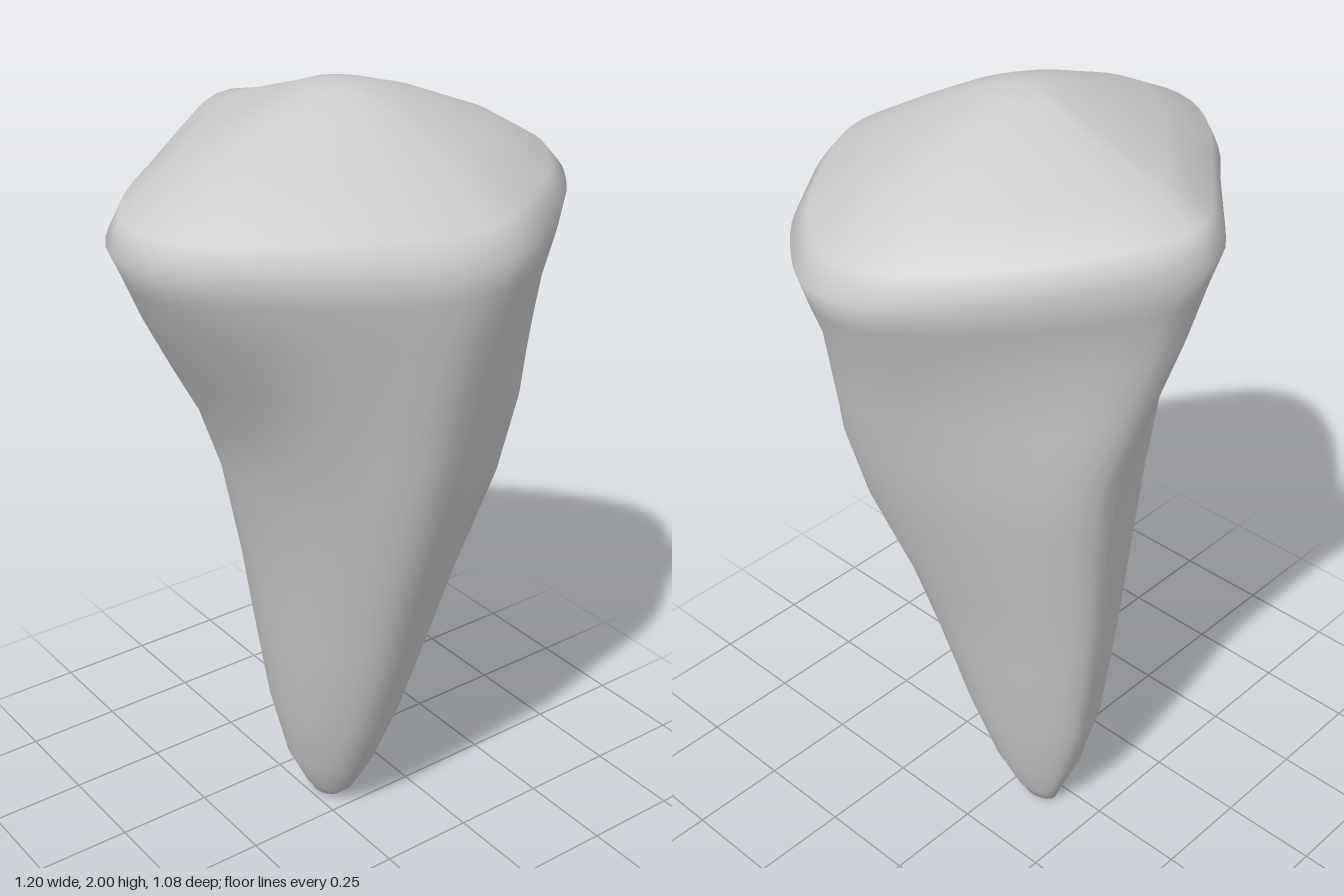
import * as THREE from 'three';

const SEGMENTS = 64;

// Rim outline seen from above (x, z): a diamond with rounded corners
const RIM = [
  [0.6, 0.02], [0.58, 0.11], [0.52, 0.2], [0.43, 0.3], [0.34, 0.37], [0.17, 0.49], [0.09, 0.525], [0.02, 0.535],
  [-0.07, 0.525], [-0.16, 0.49], [-0.28, 0.43], [-0.39, 0.36], [-0.49, 0.285], [-0.57, 0.195], [-0.6, 0.105],
  [-0.59, 0.015], [-0.535, -0.08], [-0.45, -0.17], [-0.35, -0.25], [-0.22, -0.36], [-0.07, -0.485], [-0.01, -0.525],
  [0.05, -0.54], [0.11, -0.525], [0.17, -0.49], [0.27, -0.41], [0.42, -0.27], [0.51, -0.17], [0.575, -0.08],
];

// Cross-sections from the tip up: y, right x, left x, front z, back z, centre x, centre z, lift at the back
const SECTIONS = [
  [0.012, 0.01, 0.085, -0.04, -0.135, 0.05, -0.085, 0],
  [0.05, -0.015, 0.105, 0.0, -0.15, 0.05, -0.08, 0],
  [0.16, -0.07, 0.15, 0.065, -0.197, 0.05, -0.07, 0],
  [0.35, -0.12, 0.2, 0.15, -0.255, 0.05, -0.05, 0],
  [0.6, -0.165, 0.257, 0.24, -0.295, 0.05, -0.03, 0],
  [0.8, -0.2, 0.31, 0.305, -0.325, 0.05, -0.01, 0],
  [1.07, -0.26, 0.407, 0.4, -0.36, 0.05, 0.01, 0],
  [1.25, -0.33, 0.458, 0.445, -0.39, 0.05, 0.02, 0],
  [1.4, -0.42, 0.49, 0.475, -0.425, 0.04, 0.03, 0],
  [1.55, -0.51, 0.525, 0.51, -0.465, 0.03, 0.04, 0.01],
  [1.66, -0.565, 0.57, 0.533, -0.5, 0.03, 0.05, 0.035],
  [1.735, -0.6, 0.597, 0.54, -0.535, 0.03, 0.05, 0.06],
  [1.79, -0.565, 0.545, 0.49, -0.49, 0.03, 0.05, 0.065],
  [1.875, -0.4, 0.4, 0.34, -0.36, 0.02, 0.04, 0.015],
  [1.955, -0.2, 0.2, 0.19, -0.16, 0.01, 0.03, 0],
  [1.99, -0.08, 0.08, 0.1, -0.06, 0, 0.02, 0],
];

// Rim outline scaled to reach 1 on each side of its centre
function unitOutline() {
  const points = RIM.map(([x, z]) => new THREE.Vector3(
    (x - 0.03) / (x > 0.03 ? 0.57 : 0.63), 0, (z - 0.05) / (z > 0.05 ? 0.485 : 0.59)));
  return new THREE.CatmullRomCurve3(points, true).getSpacedPoints(SEGMENTS).slice(0, SEGMENTS);
}

function bodyGeometry() {
  const outline = unitOutline();
  const up = new THREE.Vector3(0, 1, 0);
  const positions = [0.05, 0, -0.08];
  for (const [y, right, left, front, back, cx, cz, lift] of SECTIONS) {
    // Sections grow rounder towards the tip and the crown, and the shaft is twisted below the rim
    const round = y < 1.75 ? 0.8 * (1 - y / 1.75) : (y - 1.75) * 2;
    const twist = 0.32 * (1 - THREE.MathUtils.smoothstep(y, 1.1, 1.7));
    const ring = outline.map((p) =>
      p.clone().lerp(p.clone().normalize(), round).applyAxisAngle(up, -twist));
    const box = new THREE.Box3().setFromPoints(ring);
    for (const q of ring) {
      positions.push(
        cx + (q.x > 0 ? (left - cx) * q.x / box.max.x : (right - cx) * q.x / box.min.x),
        y + (q.z < 0 ? lift * q.z * q.z : 0),
        cz + (q.z > 0 ? (front - cz) * q.z / box.max.z : (back - cz) * q.z / box.min.z)
      );
    }
  }
  positions.push(0, 2, 0.02);

  // Fans close the tip and the crown, quads join neighbouring sections
  const index = [];
  const at = (i, j) => 1 + i * SEGMENTS + (j % SEGMENTS);
  const last = SECTIONS.length - 1;
  const apex = 1 + SECTIONS.length * SEGMENTS;
  for (let j = 0; j < SEGMENTS; j++) {
    index.push(0, at(0, j), at(0, j + 1));
    for (let i = 0; i < last; i++) {
      index.push(at(i, j), at(i + 1, j), at(i, j + 1));
      index.push(at(i, j + 1), at(i + 1, j), at(i + 1, j + 1));
    }
    index.push(at(last, j), apex, at(last, j + 1));
  }

  const geometry = new THREE.BufferGeometry();
  geometry.setAttribute('position', new THREE.Float32BufferAttribute(positions, 3));
  geometry.setIndex(index);
  geometry.computeVertexNormals();
  return geometry;
}

export function createModel() {
  const group = new THREE.Group();
  group.name = 'taperedPeg';
  const body = new THREE.Mesh(
    bodyGeometry(),
    new THREE.MeshStandardMaterial({ color: 0xcccccc })
  );
  body.name = 'body';
  group.add(body);
  return group;
}
